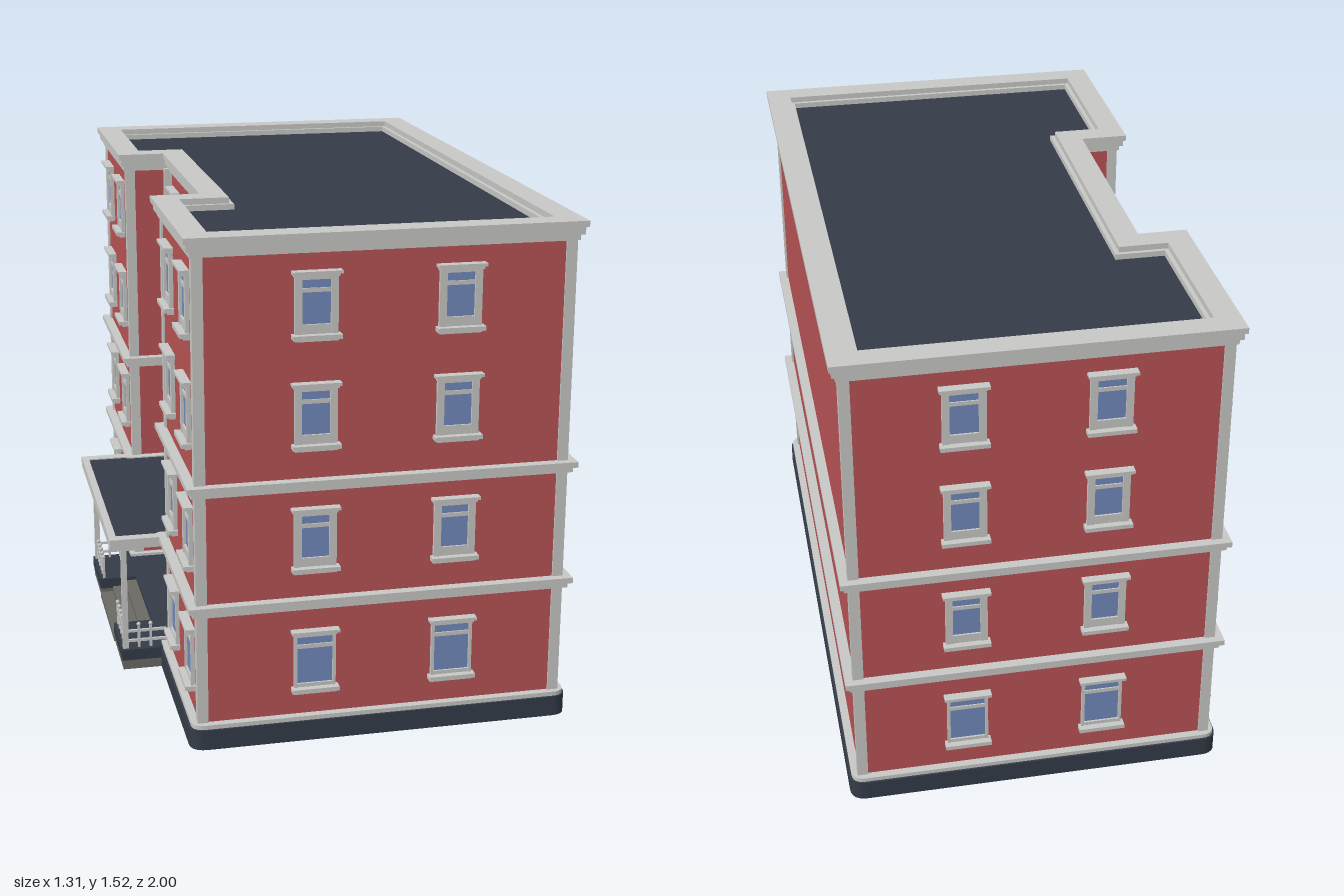
import * as THREE from 'three';

const mat = (name, color, side = THREE.FrontSide) => {
  const m = new THREE.MeshStandardMaterial({ color, side });
  m.name = name;
  return m;
};

export function createModel() {
  const root = new THREE.Group();
  root.name = 'apartmentBuilding';
  const brick = mat('brickRed', 0xb85355, THREE.DoubleSide);
  const trim = mat('trimGrey', 0xc8c8c6);
  const slate = mat('slate', 0x343c48, THREE.DoubleSide);
  const glass = mat('windowBlue', 0x728abc);
  const stone = mat('stepStone', 0x6c6a64);

  // Wall lines: west, east, half length, recess half width, recess wall
  const W = -0.47, E = 0.62, Z = 0.97, ZR = 0.4, XR = -0.32;

  const add = (parent, name, geo, material, x = 0, y = 0, z = 0) => {
    const m = new THREE.Mesh(geo, material);
    m.name = name;
    m.position.set(x, y, z);
    parent.add(m);
    return m;
  };
  // Box given by its lower and upper corners
  const box = (parent, name, material, x0, x1, y0, y1, z0, z1) =>
    add(parent, name, new THREE.BoxGeometry(x1 - x0, y1 - y0, z1 - z0), material,
      (x0 + x1) / 2, (y0 + y1) / 2, (z0 + z1) / 2);

  // Footprint grown outward by o, with optional rounded outer corners
  const footprint = (o, r = 0) => {
    const w = W - o, e = E + o, z = Z + o, zr = ZR - o, xr = XR - o;
    const p = [[w, -z], [e, -z], [e, z], [w, z]];
    const s = new THREE.Shape();
    s.moveTo(w, -zr);
    p.forEach(([x, y]) => {
      if (!r) return s.lineTo(x, y);
      const sx = x > 0 ? -r : r, sy = y > 0 ? -r : r;
      const a = [x + sx, y], b = [x, y + sy];
      const [from, to] = sx * sy > 0 ? [b, a] : [a, b];
      s.lineTo(...from);
      s.quadraticCurveTo(x, y, ...to);
    });
    s.lineTo(w, zr);
    s.lineTo(xr, zr);
    s.lineTo(xr, -zr);
    s.closePath();
    return s;
  };
  // Ring following the footprint
  const ring = (name, material, y0, y1, outer, inner, r = 0) => {
    const s = footprint(outer, r);
    s.holes.push(footprint(inner));
    const g = new THREE.ExtrudeGeometry(s, { depth: y1 - y0, bevelEnabled: false, curveSegments: 6 });
    g.rotateX(-Math.PI / 2);
    return add(root, name, g, material, 0, y0, 0);
  };

  // Shell, plinth, belts, cornice and roof
  ring('walls', brick, 0.05, 1.48, 0, -0.01);
  ring('plinth', slate, 0, 0.062, 0.03, -0.012, 0.05);
  ring('plinthStrip', trim, 0.062, 0.075, 0.024, -0.013, 0.04);
  for (const y of [0.41, 0.772]) {
    ring('beltLower', trim, y, y + 0.017, 0.018, -0.013);
    ring('beltUpper', trim, y + 0.017, y + 0.034, 0.03, -0.013);
  }
  ring('corniceLower', trim, 1.46, 1.478, 0.012, -0.06);
  ring('corniceMiddle', trim, 1.478, 1.5, 0.022, -0.06);
  ring('corniceTop', trim, 1.5, 1.518, 0.03, -0.047);
  const roof = new THREE.ShapeGeometry(footprint(-0.045));
  roof.rotateX(-Math.PI / 2);
  add(root, 'roof', roof, slate, 0, 1.483, 0);

  // Corner pilasters
  const t = 0.006, pw = 0.026;
  for (const s of [-1, 1]) {
    for (const [x0, x1, za, zb] of [
      [W - t, W + pw, Z - pw, Z + t], [E - pw, E + t, Z - pw, Z + t],
      [W - t, W + pw, ZR - t, ZR + pw], [XR - pw, XR + t, ZR - pw, ZR + t],
    ]) box(root, 'pilaster', trim, x0, x1, 0.07, 1.465, Math.min(s * za, s * zb), Math.max(s * za, s * zb));
  }

  // Sash window, facing local +z, bottom at y = 0
  const makeWindow = (x, y, z, turn, wide) => {
    const g = new THREE.Group();
    g.name = 'window';
    const gw = wide ? 0.053 : 0.041, h = 0.165;
    const b0 = wide ? 0.014 : 0.03, b1 = wide ? 0.16 : 0.157;
    for (const s of [-1, 1]) {
      const a = s * gw, b = s * 0.062;
      box(g, 'windowJamb', trim, Math.min(a, b), Math.max(a, b), 0, h, 0, 0.012);
    }
    box(g, 'windowBottomRail', trim, -gw, gw, 0, b0, 0, 0.01);
    box(g, 'windowTopRail', trim, -gw, gw, b1, h + 0.005, 0, 0.01);
    box(g, 'windowPane', glass, -gw, gw, b0, b1, 0, 0.004);
    box(g, 'windowBar', trim, -gw, gw, b1 - 0.036, b1 - 0.024, 0, 0.008);
    box(g, 'windowSill', trim, -0.07, 0.07, -0.01, 0.003, 0, 0.03);
    box(g, 'windowSillBase', trim, -0.062, 0.062, -0.017, -0.01, 0, 0.018);
    box(g, 'windowHead', trim, -0.065, 0.065, h, h + 0.009, 0, 0.018);
    box(g, 'windowCap', trim, -0.071, 0.071, h + 0.009, h + 0.018, 0, 0.028);
    g.position.set(x, y, z);
    g.rotation.y = turn;
    root.add(g);
  };
  [0.16, 0.537, 0.907, 1.227].forEach((y, floor) => {
    const wide = floor === 0;
    for (const x of [-0.128, 0.286]) {
      makeWindow(x, y, Z, 0, wide);
      makeWindow(x, y, -Z, Math.PI, wide);
    }
    for (const z of [-0.84, -0.55, 0.55, 0.84]) makeWindow(W, y, z, -Math.PI / 2, wide);
    if (!wide) for (const z of [-0.285, 0.285]) makeWindow(XR, y, z, -Math.PI / 2, false);
  });

  // Round-headed outline: half width r, bottom y0, spring line ys
  const arch = (r, y0, ys) => {
    const s = new THREE.Shape();
    s.moveTo(-r, y0);
    s.lineTo(r, y0);
    s.lineTo(r, ys);
    s.absarc(0, ys, r, 0, Math.PI, false);
    s.closePath();
    return s;
  };
  const extrude = (s, depth) =>
    new THREE.ExtrudeGeometry(s, { depth, bevelEnabled: false, curveSegments: 16 });
  const archGroup = (name, r, band, y0, ys, bottom) => {
    const g = new THREE.Group();
    g.name = name;
    const frame = arch(r, y0, ys);
    frame.holes.push(arch(r - band, y0 + bottom, ys));
    add(g, name + 'Frame', extrude(frame, 0.02), trim);
    g.position.x = XR;
    g.rotation.y = -Math.PI / 2;
    root.add(g);
    return g;
  };

  // Tall arched stair window with glazing bars
  const tall = archGroup('archedWindow', 0.185, 0.025, 0.865, 1.235, 0.025);
  const ri = 0.162;
  add(tall, 'archedPane', extrude(arch(ri, 0.88, 1.235), 0.004), glass);
  for (const x of [-0.08, 0, 0.08])
    box(tall, 'glazingBar', trim, x - 0.004, x + 0.004, 0.88, 1.235 + Math.sqrt(ri * ri - x * x), 0, 0.009);
  for (let i = 1; i < 6; i++) {
    const y = 0.88 + i * 0.085, d = Math.max(0, y - 1.235), w = Math.sqrt(ri * ri - d * d);
    box(tall, 'glazingBar', trim, -w, w, y - 0.004, y + 0.004, 0, 0.009);
  }
  box(tall, 'archedSill', trim, -0.195, 0.195, 0.85, 0.868, 0, 0.03);

  // Double entrance door with a glazed fanlight
  const door = archGroup('entrance', 0.145, 0.02, 0.065, 0.245, 0);
  box(door, 'doorLeaves', brick, -0.125, 0.125, 0.065, 0.24, 0, 0.006);
  add(door, 'fanlight', extrude(arch(0.126, 0.235, 0.245), 0.004), glass);
  box(door, 'transom', trim, -0.126, 0.126, 0.235, 0.247, 0, 0.014);
  box(door, 'doorSplit', trim, -0.004, 0.004, 0.065, 0.37, 0, 0.01);
  for (const s of [-1, 1]) {
    const ray = box(door, 'fanlightBar', trim, -0.003, 0.003, 0, 0.125, 0, 0.009);
    ray.geometry.translate(0, 0.0625, 0);
    ray.position.y = 0.245;
    ray.rotation.z = s * Math.PI / 4;
    box(door, 'doorPane', glass, s * 0.065 - 0.035, s * 0.065 + 0.035, 0.14, 0.22, 0, 0.009);
  }

  // Porch floor and steps
  const P = -0.625, S = 0.19;
  box(root, 'porchFloor', slate, -0.5, XR, 0.03, 0.066, -0.405, 0.405);
  for (const s of [-1, 1]) {
    const a = s * S, b = s * 0.41, z0 = Math.min(a, b), z1 = Math.max(a, b);
    box(root, 'porchCheek', slate, P, -0.5, 0.03, 0.066, z0, z1);
    box(root, 'porchFooting', stone, P + 0.003, -0.5, 0, 0.03, z0, z1);
  }
  for (let i = 0; i < 3; i++)
    box(root, 'step', stone, P + i * 0.042, -0.49, i * 0.018, (i + 1) * 0.018, -S, S);

  // Porch roof: slab with light rim and dark top
  box(root, 'porchRoof', trim, -0.655, XR, 0.412, 0.436, -0.415, 0.415);
  for (const [x0, x1, z0, z1] of [
    [-0.655, -0.632, -0.415, 0.415], [-0.365, -0.335, -0.38, 0.38],
    [-0.632, -0.5, -0.415, -0.38], [-0.632, -0.5, 0.38, 0.415],
  ]) box(root, 'porchRoofRim', trim, x0, x1, 0.436, 0.444, z0, z1);
  box(root, 'porchRoofTop', slate, -0.632, -0.365, 0.436, 0.44, -0.38, 0.38);

  // Porch columns and railings
  const finial = new THREE.SphereGeometry(0.007, 8, 6);
  for (const s of [-1, 1]) {
    const zc = s * 0.39, zs = s * 0.2, z0 = Math.min(zc, zs), z1 = Math.max(zc, zs);
    box(root, 'porchColumn', trim, -0.62, -0.602, 0.066, 0.412, zc - 0.009, zc + 0.009);
    for (const y of [0.085, 0.118]) {
      box(root, 'sideRail', trim, -0.61, -0.48, y, y + 0.008, zc - 0.004, zc + 0.004);
      box(root, 'frontRail', trim, -0.615, -0.607, y, y + 0.008, z0, z1);
    }
    const posts = [[-0.568, zc], [-0.53, zc]];
    for (let i = 0; i < 5; i++) posts.push([-0.611, s * (0.2 + i * 0.038)]);
    for (const [x, z] of posts) {
      box(root, 'railPost', trim, x - 0.004, x + 0.004, 0.066, 0.142, z - 0.004, z + 0.004);
      add(root, 'railFinial', finial, trim, x, 0.144, z);
    }
  }
  return root;
}
